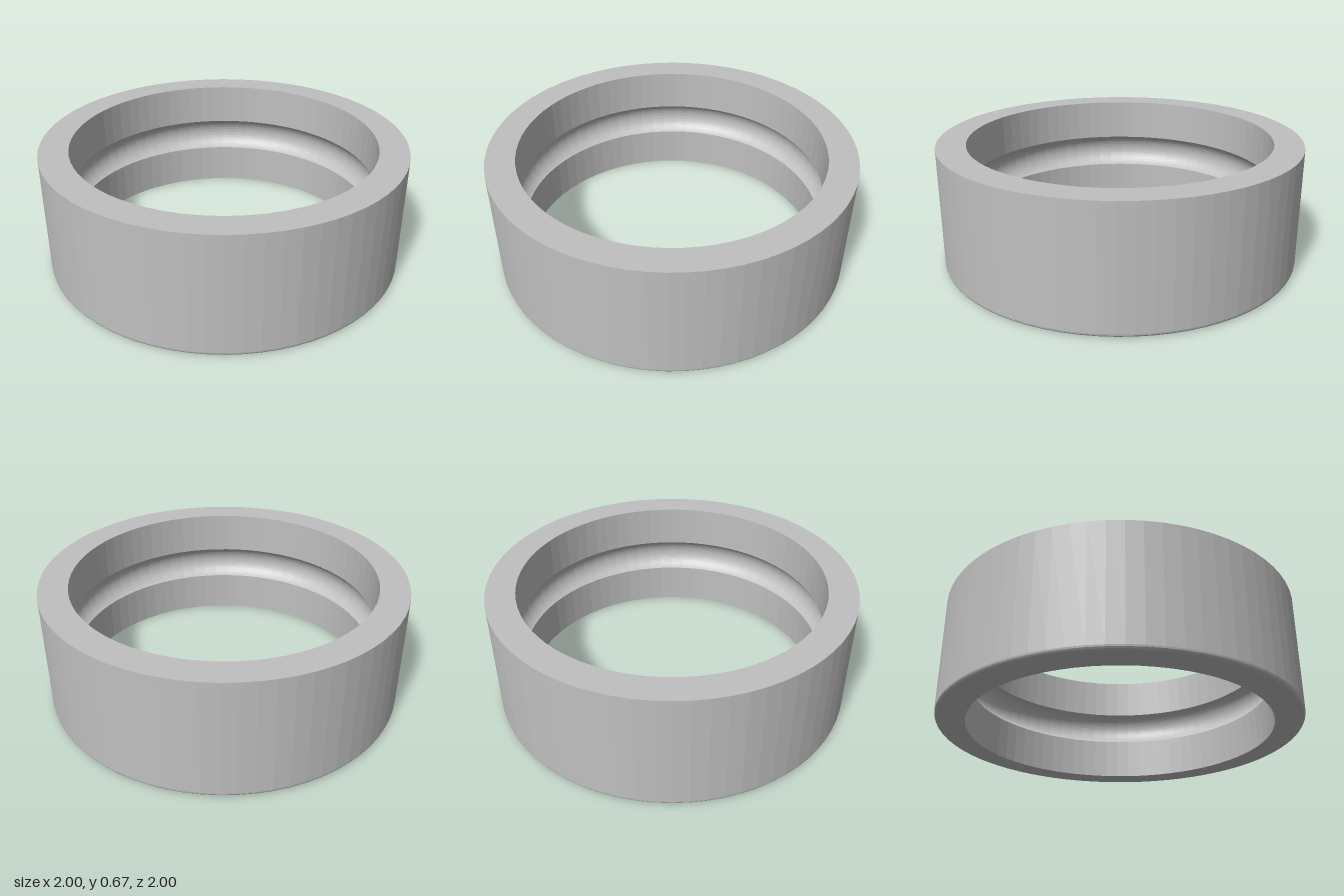
import * as THREE from 'three';

const HEIGHT = 0.67, OUTER = 1, INNER = 0.84;
const GROOVE_Y = 0.335, GROOVE_HALF = 0.097, GROOVE_DEPTH = 0.06;
const SEGMENTS = 72;

export function createModel() {
  const group = new THREE.Group();
  group.name = 'bearingRing';
  const steel = new THREE.MeshStandardMaterial({ color: 0xc0c0c0, flatShading: true });
  steel.name = 'steel grey';

  // Each profile runs so that the lathed faces point away from the metal.
  const addPart = (name, points) => {
    const profile = points.map(([r, y]) => new THREE.Vector2(r, y));
    const mesh = new THREE.Mesh(new THREE.LatheGeometry(profile, SEGMENTS), steel);
    mesh.name = name;
    group.add(mesh);
  };

  // Outer wall with a small rounded lower edge
  const fillet = 0.022;
  const outer = [];
  for (let i = 0; i <= 4; i++) {
    const a = (i / 4) * Math.PI / 2;
    outer.push([OUTER - fillet + fillet * Math.sin(a), fillet - fillet * Math.cos(a)]);
  }
  outer.push([OUTER, HEIGHT]);
  addPart('outerWall', outer);

  // Flat end faces
  addPart('topFace', [[OUTER, HEIGHT], [INNER, HEIGHT]]);
  addPart('bottomFace', [[INNER, 0], [OUTER - fillet, 0]]);

  // Inner wall above and below the ball groove
  addPart('upperInnerWall', [[INNER, HEIGHT], [INNER, GROOVE_Y + GROOVE_HALF]]);
  addPart('lowerInnerWall', [[INNER, GROOVE_Y - GROOVE_HALF], [INNER, 0]]);

  // Ball groove: a circular arc cut into the inner wall
  const radius = (GROOVE_HALF ** 2 + GROOVE_DEPTH ** 2) / (2 * GROOVE_DEPTH);
  const sweep = Math.asin(GROOVE_HALF / radius);
  const centre = INNER + GROOVE_DEPTH - radius;
  const groove = [];
  for (let i = 0; i <= 16; i++) {
    const a = sweep * (1 - i / 8);
    groove.push([centre + radius * Math.cos(a), GROOVE_Y + radius * Math.sin(a)]);
  }
  addPart('ballGroove', groove);

  return group;
}
